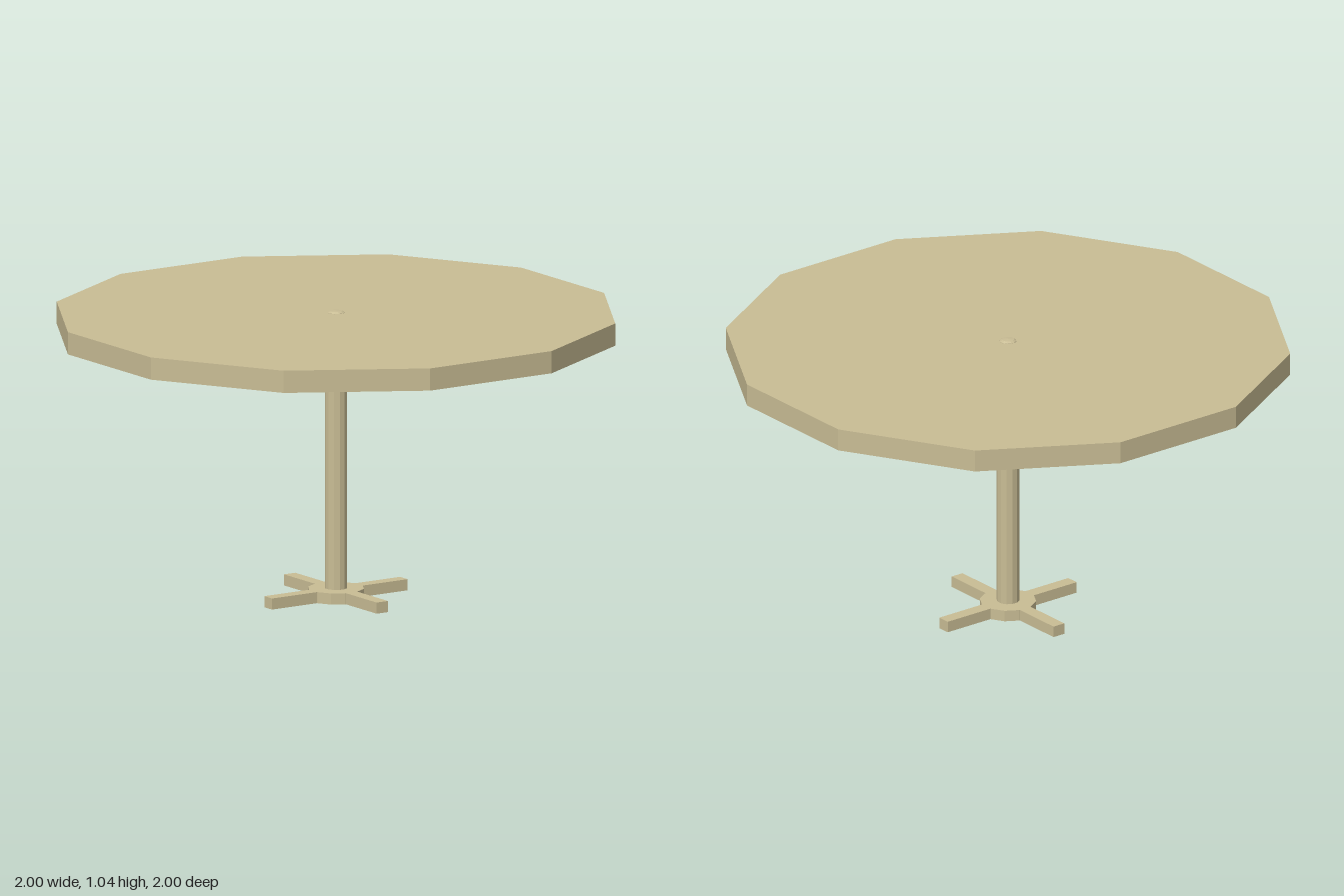
import * as THREE from 'three';

const SIDES = 12;

export function createModel() {
  const group = new THREE.Group();
  const material = new THREE.MeshStandardMaterial({ color: 0xc8bc94, flatShading: true });

  const add = (name, geometry, y = 0, parent = group) => {
    const mesh = new THREE.Mesh(geometry, material);
    mesh.name = name;
    mesh.position.y = y;
    parent.add(mesh);
    return mesh;
  };
  const lathe = (points) =>
    new THREE.LatheGeometry(points.map(([r, y]) => new THREE.Vector2(r, y)), SIDES);

  // Twelve-sided top, hollowed underneath to leave a hanging rim
  add('tableTop', lathe([[0, 0.99], [0.97, 0.99], [0.97, 0.95], [1, 0.95], [1, 1.03], [0, 1.03]]));

  // Small domed cap in the middle of the top
  add('topCap', lathe([[0.03, 1.025], [0.03, 1.031], [0.022, 1.036], [0, 1.038]]));

  // Central post
  add('post', new THREE.CylinderGeometry(0.04, 0.04, 0.96, SIDES), 0.51);

  // Base: a hub with four flat feet, turned slightly off the axes
  add('baseHub', new THREE.CylinderGeometry(0.1, 0.1, 0.04, SIDES), 0.02);
  const feet = new THREE.Group();
  feet.name = 'feet';
  feet.rotation.y = Math.PI / 12;
  group.add(feet);
  for (let i = 0; i < 4; i++) {
    const geometry = new THREE.BoxGeometry(0.048, 0.04, 0.21);
    geometry.translate(0, 0, 0.184);
    add('foot', geometry, 0.02, feet).rotation.y = (i * Math.PI) / 2;
  }

  return group;
}
